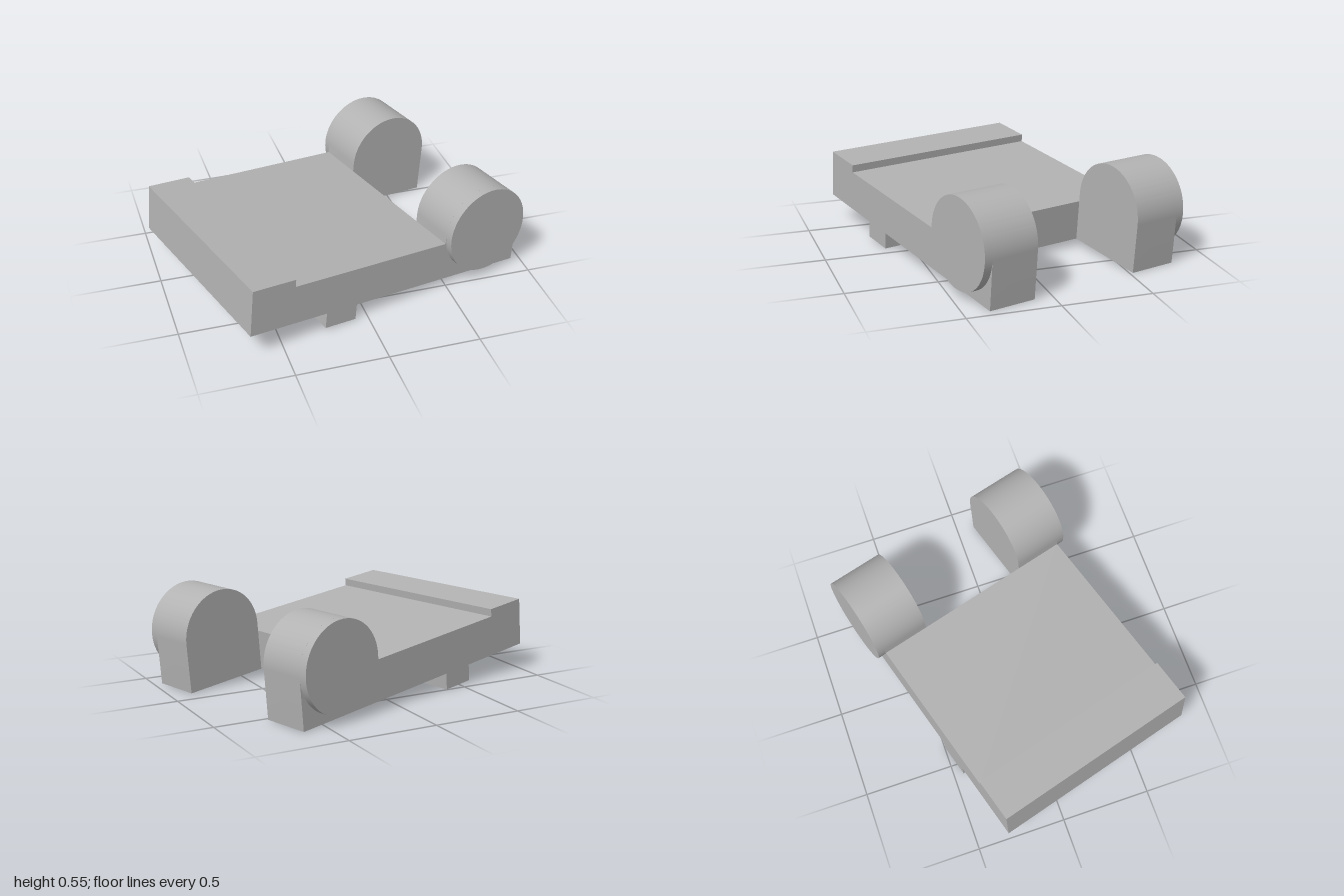
import * as THREE from 'three';
import { toCreasedNormals } from 'three/addons/utils/BufferGeometryUtils.js';

const DECK_HALF = 0.593;   // half width of the deck
const ARM_INNER = 0.3215;  // inner face of each arm
const DISC_OUTER = 0.638;  // outer face of each disc
const NOTCH = 0.318, ARM_END = 0.818, RADIUS = 0.25;
const AXLE_X = 0.568, AXLE_Y = 0.348, FLOOR = 0.072;

// Extrude a side profile across the width, from z0 to z1
function extrudeAcross(shape, z0, z1) {
  const geometry = new THREE.ExtrudeGeometry(shape, {
    depth: z1 - z0, bevelEnabled: false, curveSegments: 40,
  });
  geometry.translate(0, 0, z0);
  return toCreasedNormals(geometry, 0.5);
}

export function createModel() {
  const grey = new THREE.MeshStandardMaterial({ color: 0xb2b2b2 });
  grey.name = 'plain grey';

  const model = new THREE.Group();
  model.name = 'model';
  const body = new THREE.Group();
  body.name = 'tiltedBody';
  body.rotation.set(0, THREE.MathUtils.degToRad(15.5), THREE.MathUtils.degToRad(-5), 'YXZ');
  model.add(body);

  const add = (name, geometry, parent) => {
    const mesh = new THREE.Mesh(geometry, grey);
    mesh.name = name;
    parent.add(mesh);
    return mesh;
  };

  // Everything is centred on the deck's middle line
  const frame = new THREE.Group();
  frame.name = 'frame';
  frame.position.z = 0.011;
  body.add(frame);

  // Deck with a raised end step and a rail underneath
  const deck = new THREE.Shape([
    [-0.885, FLOOR], [-0.427, FLOOR], [-0.427, -0.02], [-0.239, -0.02],
    [-0.239, FLOOR], [NOTCH, FLOOR], [NOTCH, 0.3], [-0.634, 0.3],
    [-0.634, 0.343], [-0.885, 0.343],
  ].map(([x, y]) => new THREE.Vector2(x, y)));
  add('deck', extrudeAcross(deck, -DECK_HALF, DECK_HALF), frame);

  // Round-topped arm profile
  const arm = new THREE.Shape();
  arm.moveTo(NOTCH, FLOOR);
  arm.lineTo(ARM_END, FLOOR);
  arm.lineTo(ARM_END, AXLE_Y);
  arm.absarc(AXLE_X, AXLE_Y, RADIUS, 0, Math.PI, false);
  arm.closePath();

  // An arm and its outer disc on each side
  for (const side of [1, -1]) {
    const label = side > 0 ? 'front' : 'back';
    const z0 = side > 0 ? ARM_INNER : -DECK_HALF;
    add(label + 'Arm', extrudeAcross(arm, z0, z0 + DECK_HALF - ARM_INNER), frame);

    const thickness = DISC_OUTER - DECK_HALF;
    const disc = new THREE.CylinderGeometry(RADIUS, RADIUS, thickness, 80);
    disc.rotateX(Math.PI / 2);
    add(label + 'Disc', disc, frame)
      .position.set(AXLE_X, AXLE_Y, side * (DECK_HALF + thickness / 2));
  }
  return model;
}
